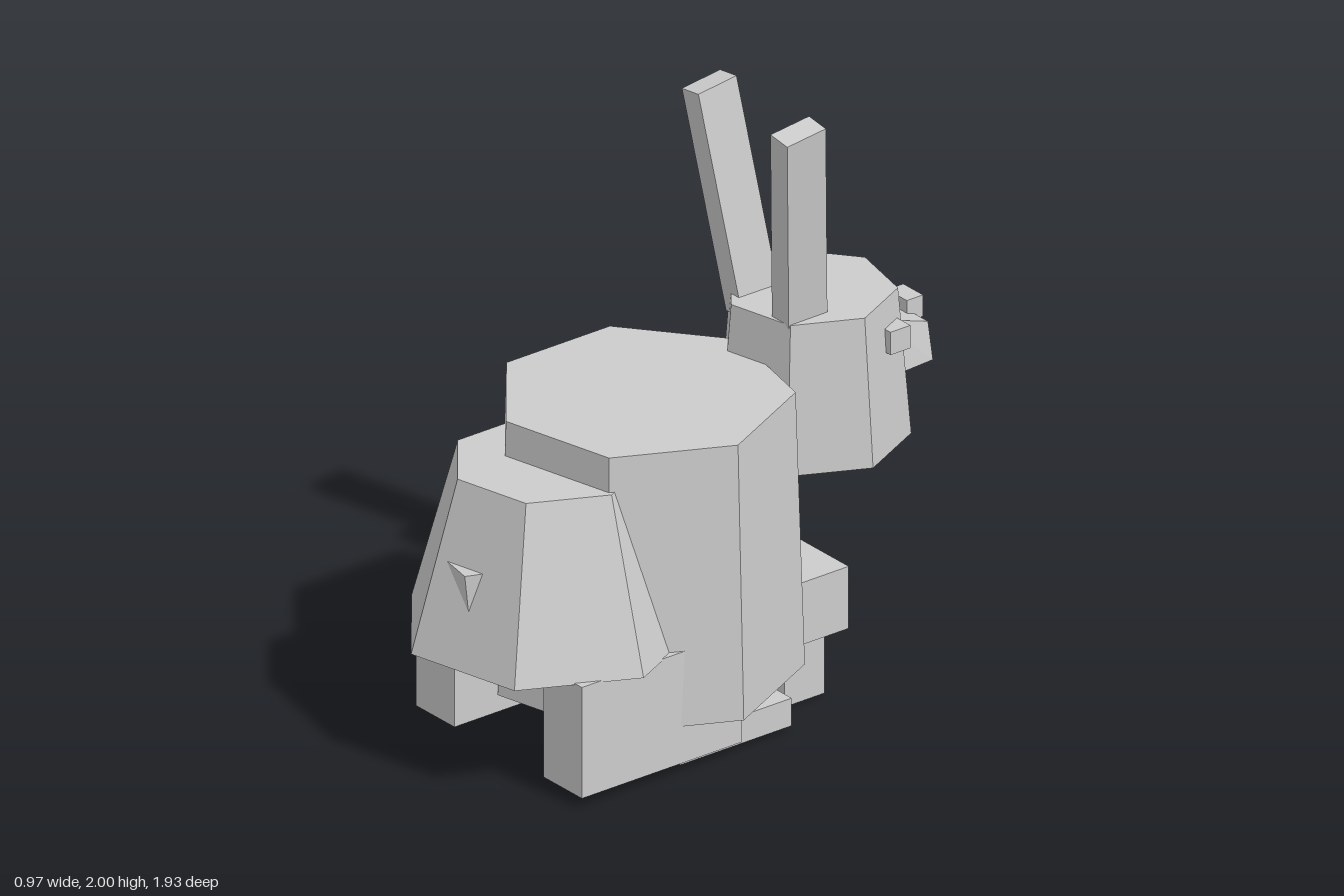
import * as THREE from 'three';
import { ConvexGeometry } from 'three/addons/geometries/ConvexGeometry.js';

const CX = -0.028; // the animal's mirror line

export function createModel() {
  const model = new THREE.Group();
  model.name = 'rabbit';
  const grey = new THREE.MeshStandardMaterial({ color: 0xcccccc, flatShading: true });
  grey.name = 'plain grey';

  const add = (name, geometry) => {
    const mesh = new THREE.Mesh(geometry, grey);
    mesh.name = name;
    model.add(mesh);
    return mesh;
  };

  // Seven-sided tapered drum with one corner pointing to +x
  const drum = (name, rTop, rBottom, y0, y1, z) =>
    add(name, new THREE.CylinderGeometry(rTop, rBottom, y1 - y0, 7, 1, false, Math.PI / 2))
      .position.set(CX, (y0 + y1) / 2, z);

  // Box given by its extents
  const box = (name, x0, x1, y0, y1, z0, z1) =>
    add(name, new THREE.BoxGeometry(x1 - x0, y1 - y0, z1 - z0))
      .position.set((x0 + x1) / 2, (y0 + y1) / 2, (z0 + z1) / 2);

  const hull = (name, points) =>
    add(name, new ConvexGeometry(points.map((p) => new THREE.Vector3(...p))));

  // Torso, haunch and head
  drum('body', 0.479, 0.508, 0.165, 1.12, 0.115);
  drum('haunch', 0.318, 0.48, 0.42, 1.0, 0.495);
  drum('head', 0.276, 0.318, 0.77, 1.28, -0.555);

  // Small pointed tail poking out of the haunch
  hull('tail', [
    [-0.077, 0.74, 0.866], [0.066, 0.74, 0.835], [0.045, 0.74, 0.89],
    [0.045, 0.61, 0.875], [0, 0.7, 0.8],
  ]);

  // Chest bar carrying the front legs
  box('chest', CX - 0.283, CX + 0.283, 0.215, 0.433, -0.485, -0.28);

  // Snout, narrower on top and sloping down to the nose
  const snout = [];
  for (const s of [-1, 1]) {
    snout.push(
      [CX + s * 0.142, 0.965, -0.935], [CX + s * 0.117, 1.09, -0.935],
      [CX + s * 0.157, 0.965, -0.74], [CX + s * 0.125, 1.158, -0.74],
    );
  }
  hull('snout', snout);
  box('nose', -0.08, 0.02, 1.07, 1.145, -0.97, -0.905);

  // Paired parts, mirrored about the centre line
  for (const s of [-1, 1]) {
    const side = s > 0 ? 'left' : 'right';
    const pair = (name, inner, outer, ...rest) => {
      const a = CX + s * inner, b = CX + s * outer;
      box(side + name, Math.min(a, b), Math.max(a, b), ...rest);
    };
    pair('HindLeg', 0.225, 0.42, 0.035, 0.425, 0.055, 0.695);
    pair('HindFoot', 0.24, 0.4, 0.018, 0.115, -0.163, 0.285);
    pair('FrontLeg', 0.13, 0.255, 0, 0.23, -0.41, -0.25);
    pair('Eye', 0.172, 0.255, 1.105, 1.185, -0.755, -0.675);

    // Long ear leaning outward and back from the face
    const axis = new THREE.Vector3(s * 0.0995, 0.71, 0.085).normalize();
    const ear = add(side + 'Ear', new THREE.BoxGeometry(0.085, 0.78, 0.155).translate(0, -0.39, 0));
    ear.position.set(CX + s * 0.225, 1.985, -0.328);
    ear.quaternion.setFromUnitVectors(new THREE.Vector3(0, 1, 0), axis);
  }
  return model;
}
